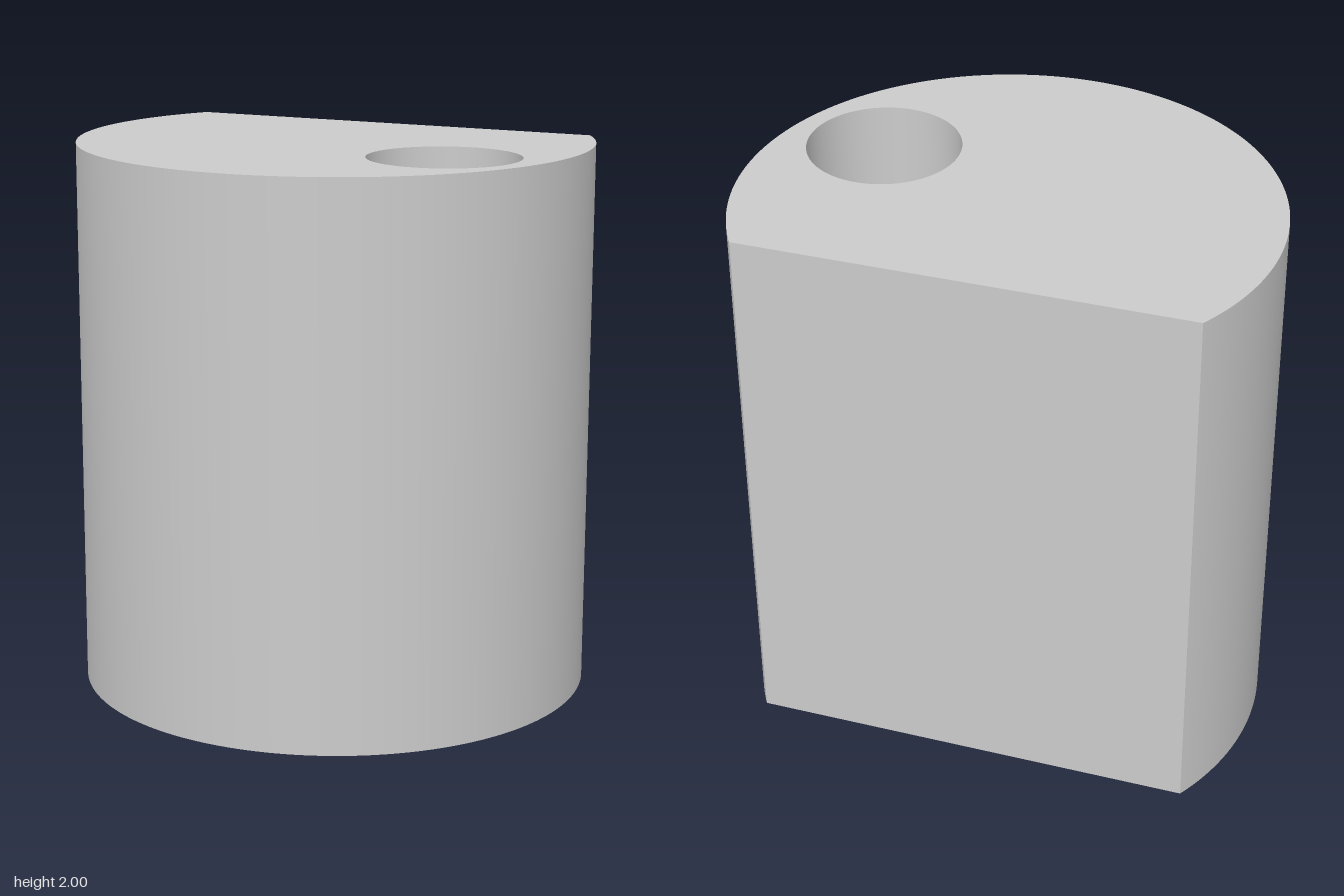
import * as THREE from 'three';
import { toCreasedNormals } from 'three/addons/utils/BufferGeometryUtils.js';

const HEIGHT = 2;
const RADIUS = 0.933;
const HALF_DEPTH = 0.713; // flat back at -z, round front at +z
const HOLE = { x: 0.535, z: 0.043, radius: 0.27 };

export function createModel() {
  const group = new THREE.Group();
  group.name = 'flattenedCylinder';

  // Outline: a circle cut by a chord (shape y becomes -z)
  const centreY = RADIUS - HALF_DEPTH;
  const chordAngle = Math.asin((HALF_DEPTH - centreY) / RADIUS);
  const outline = new THREE.Shape();
  outline.absarc(0, centreY, RADIUS, Math.PI - chordAngle, 2 * Math.PI + chordAngle, false);
  outline.closePath();

  // Round hole through the full height
  const hole = new THREE.Path();
  hole.absarc(HOLE.x, -HOLE.z, HOLE.radius, 0, 2 * Math.PI, true);
  outline.holes.push(hole);

  // Extrude upwards, smooth on the curves and sharp at the edges
  const solid = new THREE.ExtrudeGeometry(outline, { depth: HEIGHT, bevelEnabled: false, curveSegments: 64 });
  solid.rotateX(-Math.PI / 2);
  const body = new THREE.Mesh(
    toCreasedNormals(solid, Math.PI / 6),
    new THREE.MeshStandardMaterial({ color: 0xcccccc })
  );
  body.name = 'body';
  group.add(body);
  return group;
}
